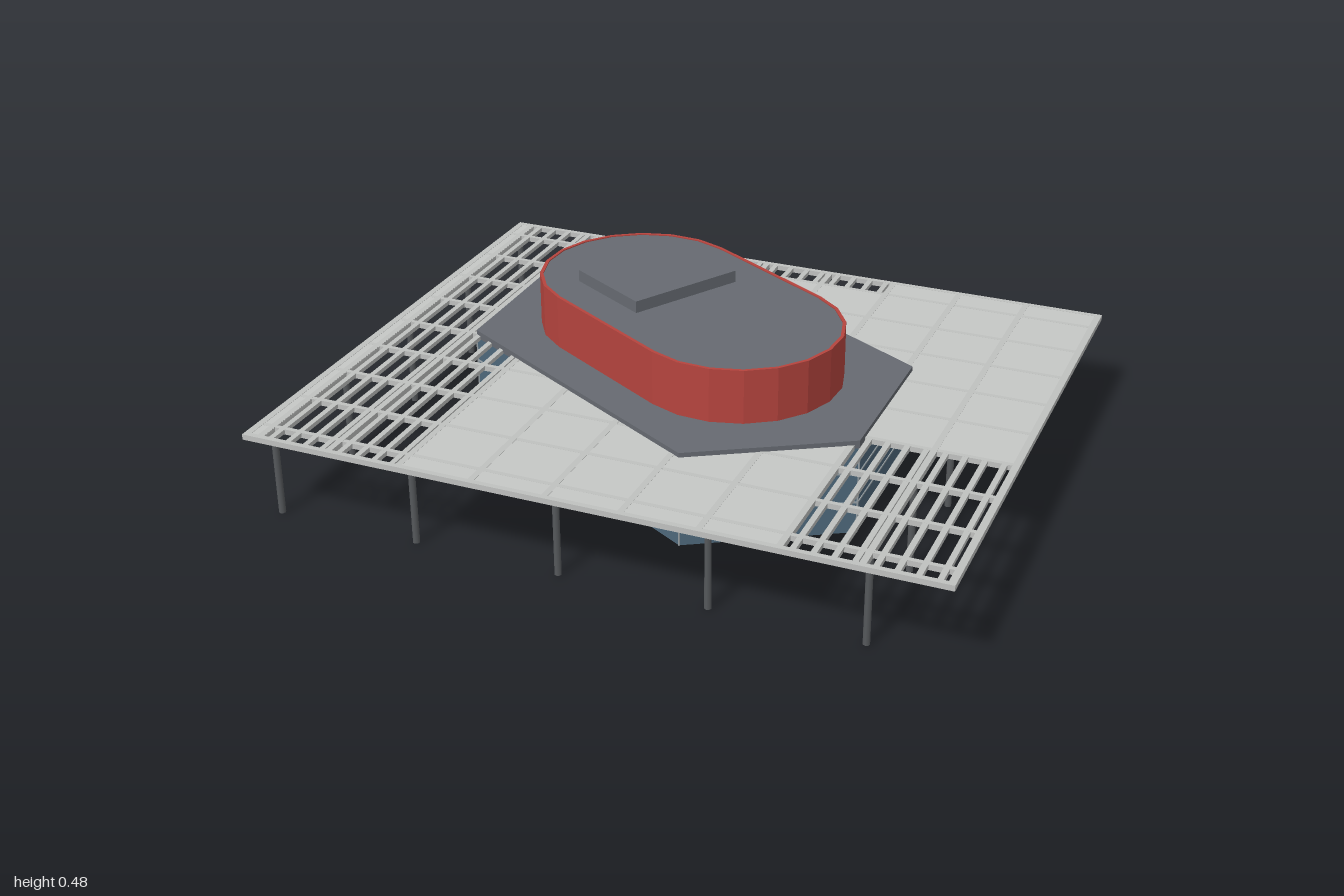
import * as THREE from 'three';

const mat = (name, color, side = THREE.FrontSide) => {
  const m = new THREE.MeshStandardMaterial({ color, side });
  m.name = name;
  return m;
};

export function createModel() {
  const model = new THREE.Group();
  model.name = 'pavilion';
  const sheetMat = mat('pale canopy grey', 0xc6c8c6);
  const beamMat = mat('light frame grey', 0xbfc1bf);
  const columnMat = mat('dark column grey', 0x56595c);
  const wallMat = mat('slate blue', 0x4e687b, THREE.DoubleSide);
  const mullionMat = mat('mullion grey', 0x9aa3a8);
  const drumMat = mat('brick red', 0xb5443e, THREE.DoubleSide);
  const roofMat = mat('roof grey', 0x666a71);

  const group = (name) => {
    const g = new THREE.Group();
    g.name = name;
    model.add(g);
    return g;
  };
  const add = (parent, name, geometry, material) => {
    const mesh = new THREE.Mesh(geometry, material);
    mesh.name = name;
    parent.add(mesh);
    return mesh;
  };
  // Axis-aligned box given by its limits
  const block = (parent, name, material, x0, x1, y0, y1, z0, z1) => {
    const mesh = add(parent, name, new THREE.BoxGeometry(x1 - x0, y1 - y0, z1 - z0), material);
    mesh.position.set((x0 + x1) / 2, (y0 + y1) / 2, (z0 + z1) / 2);
    return mesh;
  };
  // Plan outline of [x, z] points raised between two heights
  const slab = (parent, name, material, points, y0, y1, hole) => {
    const flip = (list) => list.map(([x, z]) => new THREE.Vector2(x, -z));
    const shape = new THREE.Shape(flip(points));
    if (hole) shape.holes.push(new THREE.Path(flip(hole)));
    const geo = new THREE.ExtrudeGeometry(shape, { depth: y1 - y0, bevelEnabled: false });
    geo.rotateX(-Math.PI / 2).translate(0, y0, 0);
    return add(parent, name, geo, material);
  };
  // Open ring of flat wall panels following a plan outline
  const openWall = (parent, name, material, points, y0, y1) => {
    const pos = [];
    points.forEach(([ax, az], i) => {
      const [bx, bz] = points[(i + 1) % points.length];
      pos.push(ax, y0, az, bx, y1, bz, bx, y0, bz, ax, y0, az, ax, y1, az, bx, y1, bz);
    });
    const geo = new THREE.BufferGeometry();
    geo.setAttribute('position', new THREE.Float32BufferAttribute(pos, 3));
    geo.computeVertexNormals();
    return add(parent, name, geo, material);
  };

  // Canopy: beam grid and outer frame
  const low = 0.257, top = 0.273, W = 1, D = 0.83;
  const gridX = Array.from({ length: 9 }, (_, i) => -0.95 + i * 0.2144);
  const gridZ = Array.from({ length: 9 }, (_, i) => -0.73 + i * 0.1855);
  const canopy = group('canopy');
  gridX.forEach((x) => block(canopy, 'longBeam', beamMat, x - 0.009, x + 0.009, low, top, -D, D));
  gridZ.forEach((z) => block(canopy, 'crossBeam', beamMat, -W, W, low, top - 0.0003, z - 0.007, z + 0.007));
  for (const s of [-1, 1]) {
    block(canopy, 'sideFrame', beamMat, s * 0.99 - 0.01, s * 0.99 + 0.01, low, top + 0.0003, -D, D);
    block(canopy, 'endFrame', beamMat, -W, W, low, top + 0.0002, s * 0.822 - 0.008, s * 0.822 + 0.008);
  }

  // Canopy: solid roof sheets
  const sheet = (x0, x1, z0, z1) =>
    block(canopy, 'roofSheet', sheetMat, x0, x1, 0.266, top - 0.0006, z0, z1);
  sheet(-0.99, -0.94, -0.82, 0.82);
  sheet(-0.52, 0.34, -0.73, 0.82);
  sheet(0.34, 0.55, -0.82, 0.82);
  sheet(0.55, 0.99, -0.82, 0.2);

  // Canopy: open slatted zones
  const slats = (x0, count, step, z0, z1) => {
    for (let i = 0; i < count; i++) {
      const x = x0 + i * step;
      block(canopy, 'slat', beamMat, x - 0.008, x + 0.008, 0.26, top - 0.0004, z0, z1);
    }
  };
  slats(-0.917, 8, 0.0535, -0.82, 0.82);
  slats(0.585, 8, 0.0535, 0.2, 0.82);
  slats(-0.49, 16, 0.0535, -0.82, -0.73);

  // Columns around the perimeter, at every second grid line
  const columns = group('columns');
  const columnGeo = new THREE.CylinderGeometry(0.01, 0.01, 0.26, 8);
  for (let i = 0; i < 9; i += 2) {
    for (let j = 0; j < 9; j += 2) {
      if (i % 8 && j % 8) continue;
      add(columns, 'column', columnGeo, columnMat).position.set(gridX[i], 0.13, gridZ[j]);
    }
  }

  // Hexagonal glazed hall
  const hexagon = [[-0.715, -0.47], [-0.295, -0.72], [0.572, -0.24], [0.572, 0.248], [0.148, 0.498], [-0.712, 0.02]];
  const hall = group('hexagonalHall');
  openWall(hall, 'hallWalls', wallMat, hexagon, 0, 0.262);
  hexagon.forEach(([ax, az], i) => {
    const [bx, bz] = hexagon[(i + 1) % 6];
    for (const y of [0.095, 0.187]) {
      const rail = add(hall, 'glazingRail', new THREE.BoxGeometry(Math.hypot(bx - ax, bz - az), 0.005, 0.005), mullionMat);
      rail.position.set((ax + bx) / 2, y, (az + bz) / 2);
      rail.rotation.y = -Math.atan2(bz - az, bx - ax);
    }
    const post = add(hall, 'cornerPost', new THREE.CylinderGeometry(0.003, 0.003, 0.262, 6), mullionMat);
    post.position.set(ax, 0.131, az);
  });
  slab(hall, 'hallRoof', roofMat, hexagon, 0.262, 0.286);

  // Round-ended drum, turned 30 degrees in plan
  const tilt = Math.PI / 6;
  const stadium = (r) => {
    const pts = [];
    for (const end of [0, 1]) {
      for (let i = 0; i <= 10; i++) {
        const a = tilt - Math.PI / 2 + end * Math.PI + (i / 10) * Math.PI;
        const shift = end ? -0.232 : 0.232;
        pts.push([
          -0.078 + shift * Math.cos(tilt) + r * Math.cos(a),
          -0.118 + shift * Math.sin(tilt) + r * Math.sin(a),
        ]);
      }
    }
    return pts;
  };
  const drum = group('drum');
  openWall(drum, 'drumWall', drumMat, stadium(0.306), 0, 0.44);
  slab(drum, 'drumRim', drumMat, stadium(0.306), 0.44, 0.447, stadium(0.296));
  slab(drum, 'drumRoof', roofMat, stadium(0.297), 0.432, 0.444);

  // Raised roof box
  const box = add(drum, 'roofBox', new THREE.BoxGeometry(0.288, 0.04, 0.364), roofMat);
  box.position.set(-0.21, 0.46, -0.19);
  box.rotation.y = -tilt;

  return model;
}
